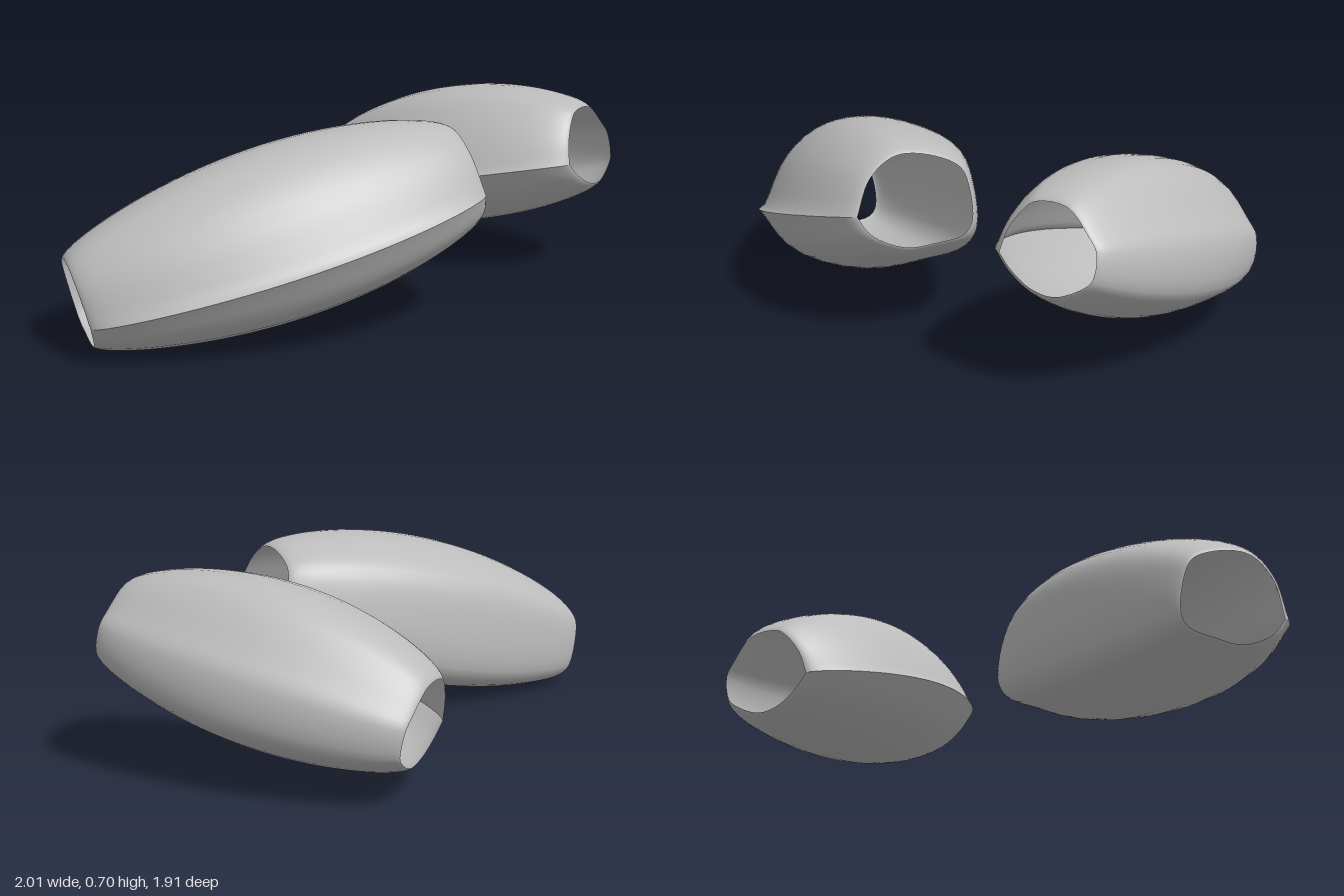
import * as THREE from 'three';

const STEPS = 40; // rings along each barrel
const SIDES = 48; // samples around each section

// Hollow bulging barrel: one sharp seam on the +u side, smooth elsewhere, open at both ends
function barrel(name, start, end, startScale, outline, material) {
  const a = new THREE.Vector3(...start);
  const b = new THREE.Vector3(...end);
  const axis = b.clone().sub(a).normalize();
  const u = new THREE.Vector3().crossVectors(axis, new THREE.Vector3(0, 1, 0)).normalize();
  const v = new THREE.Vector3().crossVectors(u, axis);

  // Open curve from seam to seam keeps the corner there
  const loop = [...outline, outline[0]].map(([x, y]) => new THREE.Vector3(x, y, 0));
  const section = new THREE.CatmullRomCurve3(loop, false, 'centripetal').getPoints(SIDES);
  const seamU = outline[0][0];

  const positions = [];
  const indices = [];
  for (let i = 0; i <= STEPS; i++) {
    const t = (1 - Math.cos((Math.PI * i) / STEPS)) / 2; // closer rings at the ends
    const bulge = Math.max(0, Math.sin(Math.PI * t)) ** 0.65;
    const scale = THREE.MathUtils.lerp(startScale, 1, t);
    const centre = a.clone().lerp(b, t);
    for (const p of section) {
      // The seam itself stays straight in height while the rest swells
      const nearSeam = Math.max(0, p.x / seamU) ** 8;
      const rise = (p.y > 0 ? 0.98 : 0.74) * (1 - 1.5 * nearSeam);
      const pu = p.x * scale * (1 + (p.x > 0 ? 1.1 : 0.67) * bulge);
      const pv = p.y * scale * (1 + rise * bulge);
      const q = centre.clone().addScaledVector(u, pu).addScaledVector(v, pv);
      positions.push(q.x, q.y, q.z);
    }
  }
  const row = SIDES + 1;
  for (let i = 0; i < STEPS; i++) {
    for (let j = 0; j < SIDES; j++) {
      const k = i * row + j;
      indices.push(k, k + row, k + 1, k + 1, k + row, k + row + 1);
    }
  }
  const geometry = new THREE.BufferGeometry();
  geometry.setAttribute('position', new THREE.Float32BufferAttribute(positions, 3));
  geometry.setIndex(indices);
  geometry.computeVertexNormals(); // seam vertices are doubled, so the seam stays sharp
  const mesh = new THREE.Mesh(geometry, material);
  mesh.name = name;
  return mesh;
}

export function createModel() {
  const grey = new THREE.MeshStandardMaterial({ color: 0xbcbcbc, side: THREE.DoubleSide });
  grey.name = 'plain grey';

  const group = new THREE.Group();
  group.name = 'barrelPair';

  // Long barrel at the front
  group.add(barrel('frontBarrel', [-0.937, 0.163, 0.71], [0.353, 0.5, 0.285], 0.92, [
    [0.211, -0.043], [0.16, 0.08], [0.086, 0.146], [0.021, 0.162], [-0.09, 0.142],
    [-0.171, 0.098], [-0.197, 0.025], [-0.198, -0.095], [-0.165, -0.138],
    [-0.067, -0.157], [0.049, -0.163], [0.165, -0.11],
  ], grey));

  // Short barrel at the back
  group.add(barrel('backBarrel', [-0.035, 0.255, -0.8], [0.885, 0.495, -0.15], 1, [
    [0.174, -0.043], [0.15, 0.04], [0.1, 0.112], [0.06, 0.141], [-0.058, 0.141], [-0.144, 0.066],
    [-0.181, 0.019], [-0.179, -0.069], [-0.138, -0.107], [-0.046, -0.146], [0.045, -0.134],
    [0.125, -0.088],
  ], grey));

  return group;
}
